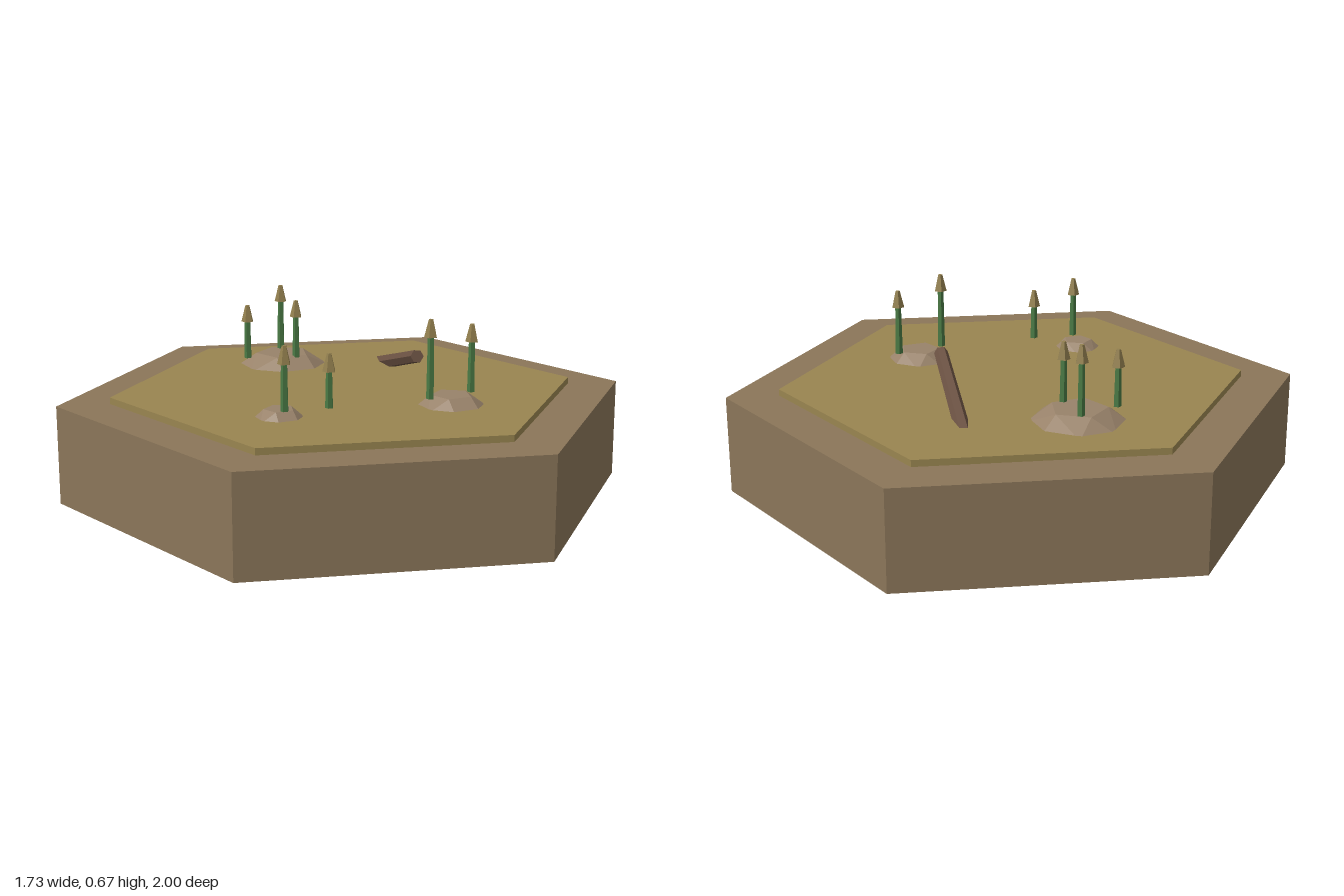
import * as THREE from 'three';
import { ConvexGeometry } from 'three/addons/geometries/ConvexGeometry.js';

const material = (color) => new THREE.MeshStandardMaterial({ color, flatShading: true });
const soil = material(0x8b7659);
const marsh = material(0x998550);
const mud = material(0x98826a);
const wood = material(0x6b5243);
const green = material(0x4a7a45);
const seed = material(0x93804f);

function part(name, geometry, mat, x = 0, y = 0, z = 0) {
  const mesh = new THREE.Mesh(geometry, mat);
  mesh.name = name;
  mesh.position.set(x, y, z);
  return mesh;
}

// Ring of points for a mound's cross-section
function ring(radius, y, sides, turn) {
  return Array.from({ length: sides }, (_, i) => {
    const a = turn + (i / sides) * Math.PI * 2;
    return new THREE.Vector3(Math.cos(a) * radius, y, Math.sin(a) * radius);
  });
}

// Faceted mound: eight-sided foot, five-sided flat top
function mound(x, z, radius, top) {
  const foot = 0.36;
  const geometry = new ConvexGeometry([
    ...ring(radius, 0, 8, Math.PI / 8),
    ...ring(radius * 0.58, top - foot, 5, 0.15),
  ]);
  return part('mound', geometry, mud, x, foot, z);
}

// Reed: slim stem with a tapered seed head
function reed(x, z, top) {
  const group = new THREE.Group();
  group.name = 'reed';
  const foot = 0.4, headHeight = 0.06;
  const length = top - headHeight - foot;
  group.add(
    part('reedStem', new THREE.CylinderGeometry(0.011, 0.014, length, 5), green, 0, foot + length / 2, 0),
    part('reedHead', new THREE.CylinderGeometry(0.008, 0.023, headHeight, 5), seed, 0, top - headHeight / 2, 0),
  );
  group.position.set(x, 0, z);
  return group;
}

// Leaning log with its lower end buried
function log() {
  const high = new THREE.Vector3(0.23, 0.475, -0.11);
  const low = new THREE.Vector3(-0.07, 0.33, -0.553);
  const axis = high.clone().sub(low);
  const mesh = part('log', new THREE.CylinderGeometry(0.024, 0.027, axis.length(), 6), wood);
  mesh.position.copy(low).add(high).multiplyScalar(0.5);
  mesh.quaternion.setFromUnitVectors(new THREE.Vector3(0, 1, 0), axis.normalize());
  return mesh;
}

export function createModel() {
  const model = new THREE.Group();
  model.name = 'marshTile';

  // Hexagonal base and raised ground plate
  model.add(part('base', new THREE.CylinderGeometry(1, 1, 0.347, 6), soil, 0, 0.1735, 0));
  model.add(part('groundPlate', new THREE.CylinderGeometry(0.818, 0.818, 0.03, 6), marsh, 0, 0.355, 0));

  // Mounds: x, z, radius, top
  for (const m of [[-0.347, -0.285, 0.172, 0.41], [0.415, 0.1, 0.124, 0.403], [-0.07, 0.445, 0.09, 0.396]]) {
    model.add(mound(...m));
  }

  // Reeds: x, z, top
  for (const r of [
    [-0.38, -0.35, 0.65], [-0.45, -0.195, 0.597], [-0.278, -0.245, 0.617],
    [0.465, 0.03, 0.634], [0.362, 0.17, 0.67],
    [-0.035, 0.485, 0.617], [0.086, 0.395, 0.582],
  ]) model.add(reed(...r));

  model.add(log());
  return model;
}
